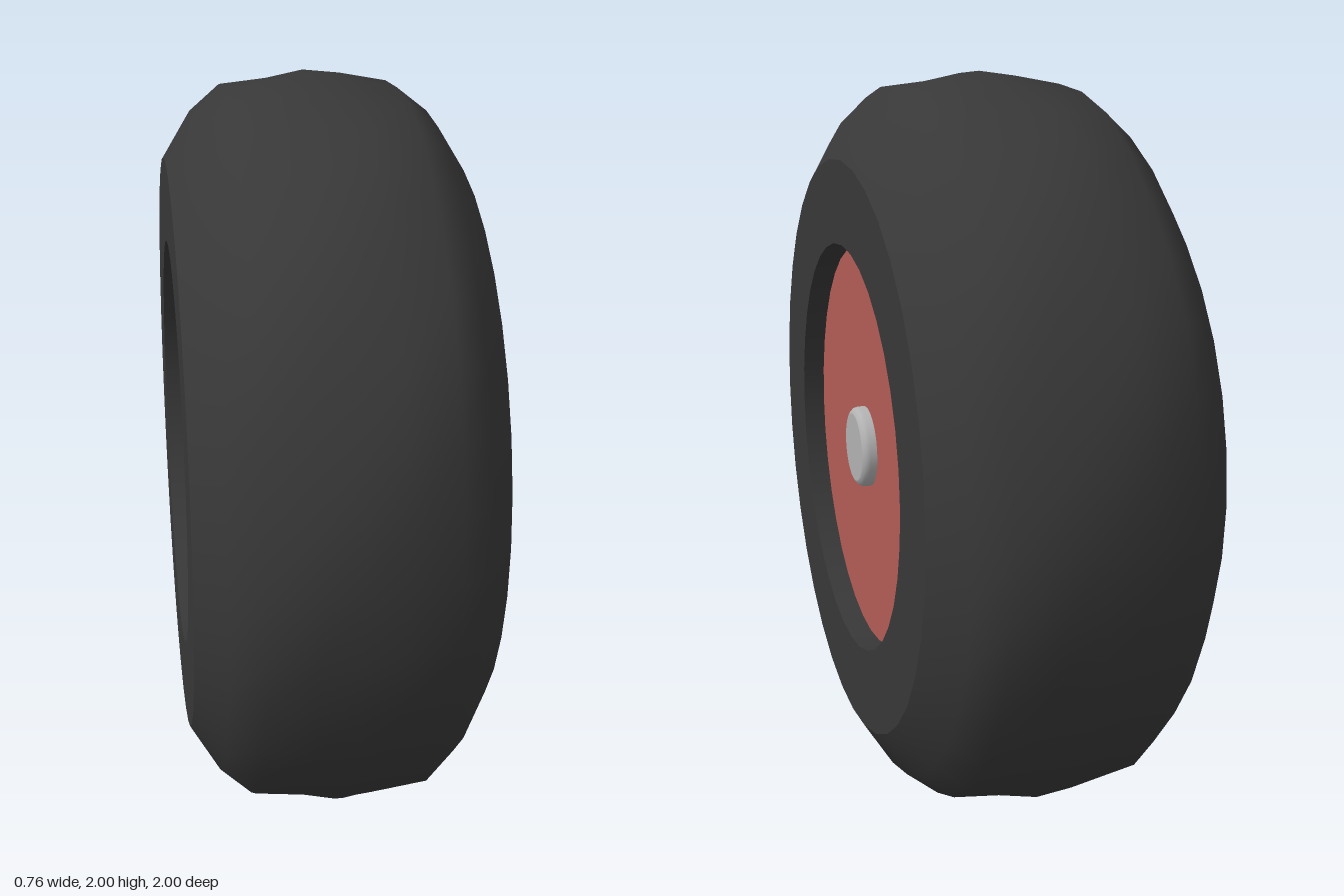
import * as THREE from 'three';
import { mergeVertices } from 'three/addons/utils/BufferGeometryUtils.js';

const SEGMENTS = 36;
const HALF_WIDTH = 0.38;
const HOLE = 0.556;
const SHOULDER = 0.78;

const rubber = new THREE.MeshStandardMaterial({ color: 0x383838 });
rubber.name = 'black rubber';
const red = new THREE.MeshStandardMaterial({ color: 0xb45c55 });
red.name = 'red rim';
const steel = new THREE.MeshStandardMaterial({ color: 0xb2b2b2 });
steel.name = 'grey steel';

// Turns a profile of [radius, x] points around the x axis.
function turned(profile, segments = SEGMENTS) {
  const points = profile.map(([r, x]) => new THREE.Vector2(r, x));
  return new THREE.LatheGeometry(points, segments).rotateZ(-Math.PI / 2);
}

function addPart(parent, name, geometry, material) {
  const mesh = new THREE.Mesh(geometry, material);
  mesh.name = name;
  parent.add(mesh);
  return mesh;
}

// Rounded tread with very shallow, worn dents either side of the crown.
function treadGeometry() {
  let geometry = turned([
    [SHOULDER, -HALF_WIDTH], [0.9, -0.305], [0.967, -0.225], [0.985, -0.1],
    [1, 0],
    [0.985, 0.1], [0.967, 0.225], [0.9, 0.305], [SHOULDER, HALF_WIDTH],
  ]);
  const position = geometry.attributes.position;
  for (let i = 0; i < position.count; i++) {
    const x = position.getX(i), y = position.getY(i), z = position.getZ(i);
    if (Math.abs(x) < 0.05 || Math.abs(x) > 0.25) continue;
    const scale = 1 + 0.005 * Math.cos(9 * Math.atan2(z, y) + 14 * x);
    position.setXYZ(i, x, y * scale, z * scale);
  }
  // Weld the seam so the shading stays smooth all the way round.
  geometry.deleteAttribute('uv');
  geometry.deleteAttribute('normal');
  geometry = mergeVertices(geometry, 1e-4);
  geometry.computeVertexNormals();
  return geometry;
}

export function createModel() {
  const wheel = new THREE.Group();
  wheel.name = 'wheel';

  // Tyre: tread, two flat sidewalls and the inner wall of the opening
  const tyre = new THREE.Group();
  tyre.name = 'tyre';
  addPart(tyre, 'tread', treadGeometry(), rubber);
  addPart(tyre, 'leftSidewall', turned([[SHOULDER, HALF_WIDTH], [HOLE, HALF_WIDTH]]), rubber);
  addPart(tyre, 'rightSidewall', turned([[HOLE, -HALF_WIDTH], [SHOULDER, -HALF_WIDTH]]), rubber);
  addPart(tyre, 'innerWall', turned([[HOLE, HALF_WIDTH], [HOLE, -HALF_WIDTH]]), rubber);
  wheel.add(tyre);

  // Rim: a solid drum set back a little from both sidewalls
  const rim = new THREE.CylinderGeometry(0.546, 0.546, 0.644, SEGMENTS).rotateZ(-Math.PI / 2);
  addPart(wheel, 'rim', rim, red);

  // Hub cap: low button with a rounded edge, on the outer side only
  const cap = new THREE.Group();
  cap.name = 'hubCap';
  addPart(cap, 'capEdge', turned([
    [0.11, 0.315], [0.11, 0.34], [0.107, 0.35], [0.1, 0.357], [0.093, 0.36],
  ], 32), steel);
  addPart(cap, 'capFace', turned([[0.093, 0.36], [0, 0.36]], 32), steel);
  wheel.add(cap);

  wheel.position.y = 1;
  const model = new THREE.Group();
  model.name = 'wheelModel';
  model.add(wheel);
  return model;
}
